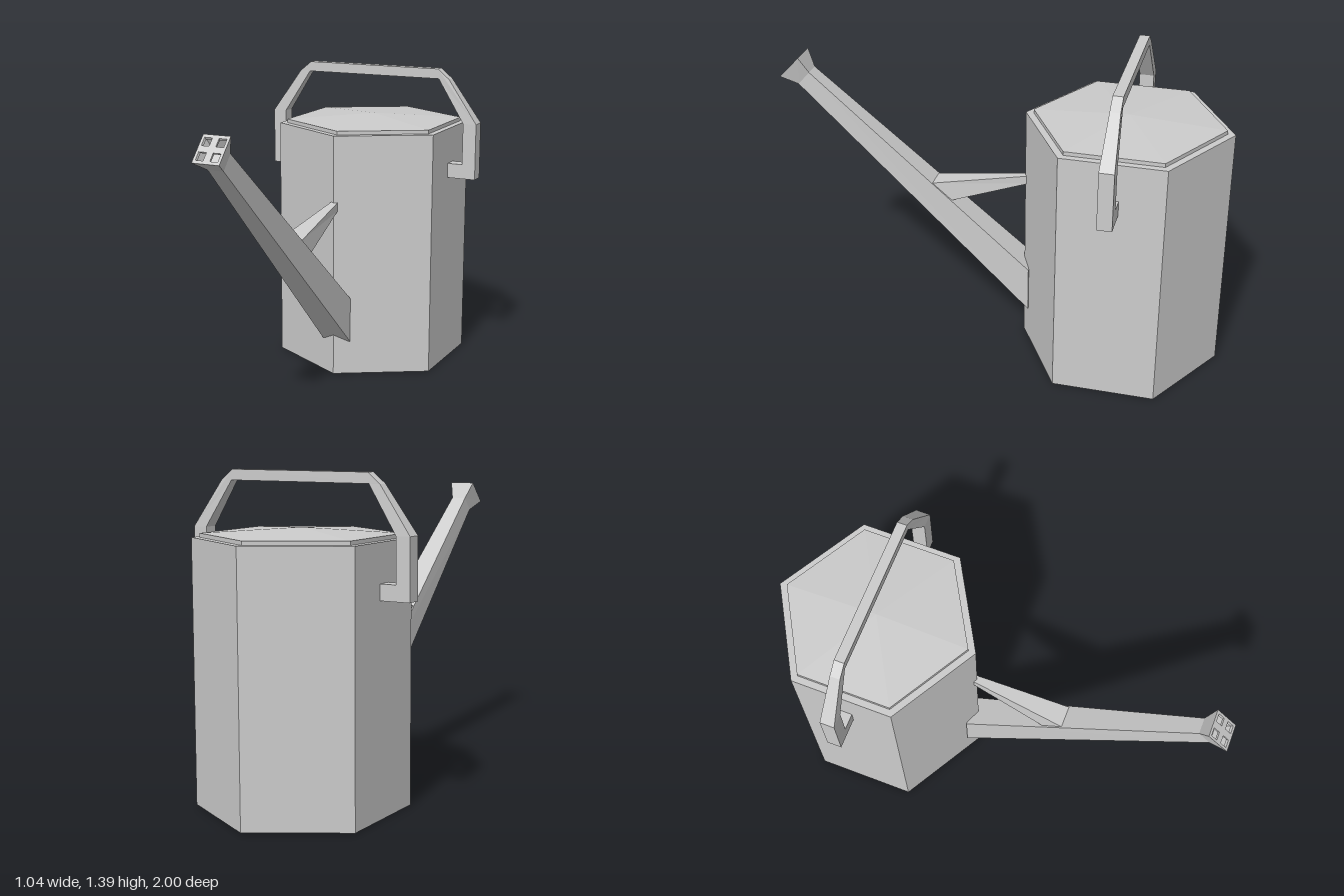
import * as THREE from 'three';

const CZ = -0.553; // centre of the can along z

const grey = new THREE.MeshStandardMaterial({ color: 0xcccccc, flatShading: true });
const greyDouble = new THREE.MeshStandardMaterial({ color: 0xcccccc, flatShading: true, side: THREE.DoubleSide });

function part(name, geometry, material = grey) {
  const flat = geometry.index ? geometry.toNonIndexed() : geometry;
  flat.computeVertexNormals();
  const mesh = new THREE.Mesh(flat, material);
  mesh.name = name;
  return mesh;
}

// Six-sided turned form from [radius, height] pairs
function hexForm(profile) {
  const points = profile.map(([r, y]) => new THREE.Vector2(r, y));
  return new THREE.LatheGeometry(points, 6).translate(0, 0, CZ);
}

// Four-sided loft; each section is [halfWidth, bottomZ, bottomY, topZ, topY], running towards +z
function loft(sections, capped) {
  const rings = sections.map(([w, bz, by, tz, ty]) => [[-w, by, bz], [w, by, bz], [w, ty, tz], [-w, ty, tz]]);
  const pos = [];
  const quad = (a, b, c, d) => pos.push(...a, ...b, ...c, ...a, ...c, ...d);
  for (let s = 0; s < rings.length - 1; s++) {
    for (let i = 0; i < 4; i++) {
      const j = (i + 1) % 4;
      quad(rings[s][i], rings[s][j], rings[s + 1][j], rings[s + 1][i]);
    }
  }
  if (capped) {
    quad(...[...rings[0]].reverse());
    quad(...rings[rings.length - 1]);
  }
  const g = new THREE.BufferGeometry();
  g.setAttribute('position', new THREE.Float32BufferAttribute(pos, 3));
  return g;
}

// Arched handle: half outline mirrored, extruded, thinner towards the top
function handleGeometry() {
  const outer = [[0.37, 0.89], [0.52, 0.89], [0.52, 1.147], [0.38, 1.345], [0.325, 1.39]];
  const inner = [[0.33, 1.345], [0.457, 1.147], [0.457, 0.957], [0.37, 0.957]];
  const mirror = (pts) => pts.map(([x, y]) => [-x, y]).reverse();
  const outline = [...outer, ...mirror(outer), ...mirror(inner), ...inner];
  const shape = new THREE.Shape(outline.map(([x, y]) => new THREE.Vector2(x, y)));
  const g = new THREE.ExtrudeGeometry(shape, { depth: 0.064, bevelEnabled: false });
  g.translate(0, 0, -0.032);
  const p = g.attributes.position;
  for (let i = 0; i < p.count; i++) {
    const t = THREE.MathUtils.clamp((p.getY(i) - 1.147) / 0.2, 0, 1);
    p.setZ(i, p.getZ(i) * (1 - 0.31 * t));
  }
  return g.translate(0, 0, CZ);
}

// Thin plate with four square holes, narrowing at the back to follow the flare
function roseGeometry() {
  const rect = (target, x0, x1, y0, y1) =>
    target.moveTo(x0, y0).lineTo(x1, y0).lineTo(x1, y1).lineTo(x0, y1).closePath();
  const shape = rect(new THREE.Shape(), -0.06, 0.06, -0.066, 0.066);
  for (const sx of [-1, 1]) {
    for (const sy of [-1, 1]) {
      const cx = sx * 0.0315, cy = sy * 0.033;
      shape.holes.push(rect(new THREE.Path(), cx - 0.017, cx + 0.017, cy - 0.019, cy + 0.019));
    }
  }
  const g = new THREE.ExtrudeGeometry(shape, { depth: 0.01, bevelEnabled: false });
  g.translate(0, 0, -0.01);
  const p = g.attributes.position;
  for (let i = 0; i < p.count; i++) {
    if (p.getZ(i) < -0.005) p.setXY(i, p.getX(i) * 0.94, p.getY(i) * 0.94);
  }
  return g;
}

export function createModel() {
  const model = new THREE.Group();
  model.name = 'wateringCan';

  // Hexagonal can and its shallow pointed lid
  model.add(part('body', hexForm([[0, 0], [0.447, 0], [0.447, 1.12], [0, 1.12]])));
  model.add(part('lid', hexForm([[0.413, 1.115], [0.413, 1.137], [0, 1.162]])));

  model.add(part('handle', handleGeometry()));

  // Tapering spout, with a hollow flared head
  const neck = [0.035, 0.922, 1.15, 0.869, 1.21];
  model.add(part('spout', loft([[0.07, -0.14, 0.157, -0.14, 0.365], neck], true)));
  model.add(part('spoutHead', loft([neck, [0.06, 0.997, 1.188, 0.906, 1.284]], false), greyDouble));

  const rose = part('rosePlate', roseGeometry());
  rose.position.set(0, 1.236, 0.9515);
  rose.rotation.x = -0.759;
  model.add(rose);

  // Brace between can and spout
  model.add(part('spoutBrace', loft([
    [0.016, -0.12, 0.779, -0.12, 0.817],
    [0.049, 0.22, 0.666, 0.31, 0.741],
  ], true)));

  return model;
}
